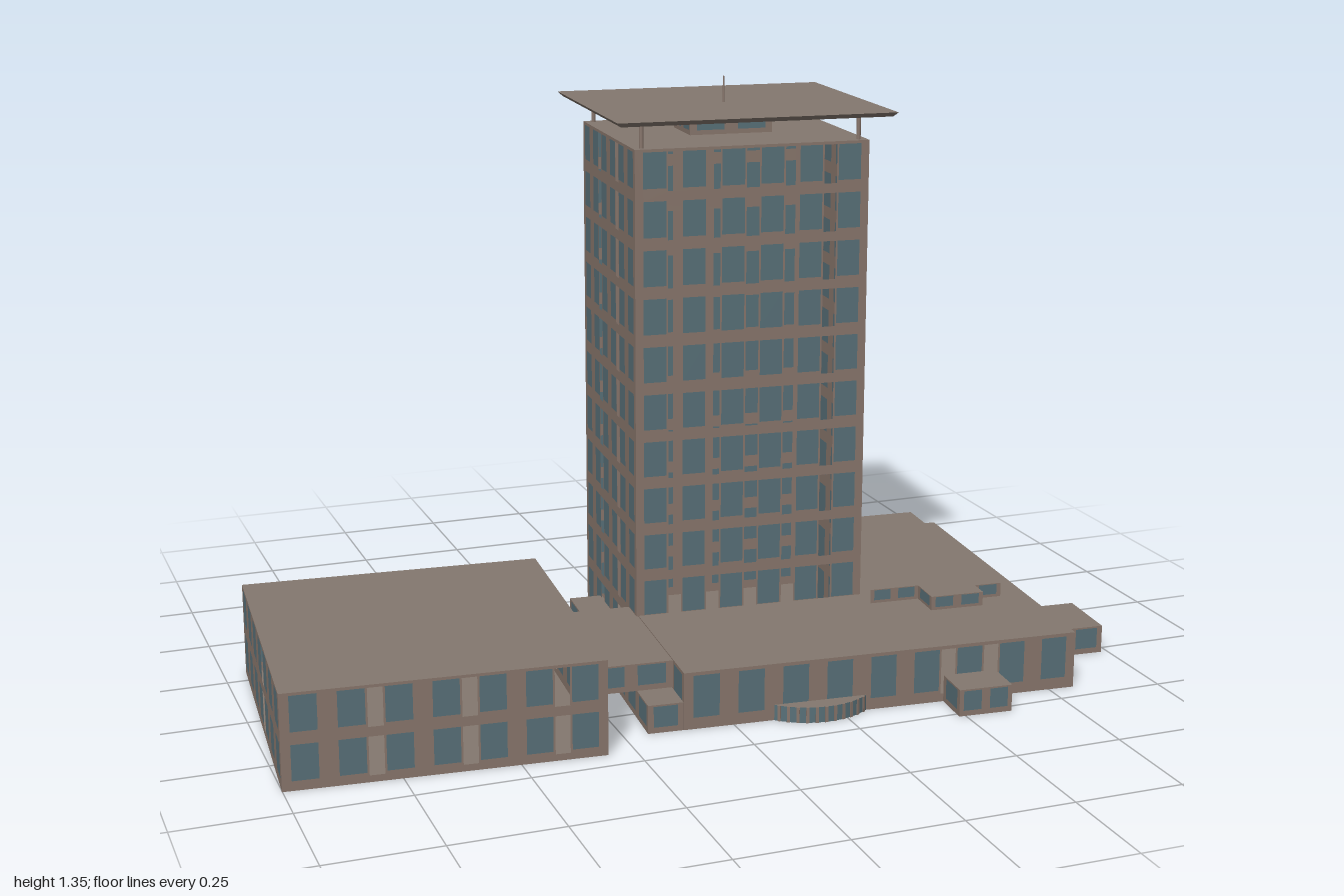
import * as THREE from 'three';
import { mergeGeometries } from 'three/addons/utils/BufferGeometryUtils.js';

function mat(name, color) {
  const m = new THREE.MeshStandardMaterial({ color, side: THREE.DoubleSide });
  m.name = name;
  return m;
}

export function createModel() {
  const wall = mat('wall', 0x88766c);
  const roof = mat('roof', 0x84786f);
  const glass = mat('glass', 0x587078);
  const model = new THREE.Group();
  model.name = 'officeComplex';

  const add = (parent, name, geometry, material) => {
    const mesh = new THREE.Mesh(geometry, material);
    mesh.name = name;
    parent.add(mesh);
    return mesh;
  };

  const rect = (Type, x0, y0, x1, y1) => {
    const p = new Type();
    p.moveTo(x0, y0);
    p.lineTo(x1, y0);
    p.lineTo(x1, y1);
    p.lineTo(x0, y1);
    p.closePath();
    return p;
  };

  // One flat wall with a grid of windows and narrow open slots in chosen piers
  function facade(parent, a, b, y0, y1, { cols, rows = 1, slots = [] }) {
    const dx = b[0] - a[0], dz = b[1] - a[1];
    const length = Math.hypot(dx, dz), height = y1 - y0;
    const pitch = length / cols, floor = height / rows;
    const half = pitch * (slots.length ? 0.29 : 0.34);
    const shape = rect(THREE.Shape, 0, 0, length, height);
    const panes = [];
    for (let r = 0; r < rows; r++) {
      const low = (r + 0.2) * floor, high = (r + 0.94) * floor;
      for (let c = 0; c < cols; c++) {
        const x = (c + 0.5) * pitch;
        shape.holes.push(rect(THREE.Path, x - half, low, x + half, high));
        panes.push(new THREE.PlaneGeometry(half * 2, high - low).translate(x, (low + high) / 2, 0));
      }
      for (const s of slots) {
        const x = s * pitch, w = pitch * 0.165;
        shape.holes.push(rect(THREE.Path, x - w, low - floor * 0.06, x + w, high));
      }
    }
    const side = new THREE.Group();
    side.name = 'facade';
    side.position.set(a[0], y0, a[1]);
    side.rotation.y = -Math.atan2(dz, dx);
    add(side, 'wallPanel', new THREE.ShapeGeometry(shape), wall);
    add(side, 'windows', mergeGeometries(panes), glass);
    parent.add(side);
  }

  // Hollow building on a ground plan; a null side is left open against its neighbour
  function building(name, plan, y0, y1, sides) {
    const group = new THREE.Group();
    group.name = name;
    plan.forEach((p, i) => {
      if (sides[i]) facade(group, p, plan[(i + 1) % plan.length], y0, y1, sides[i]);
    });
    const shape = new THREE.Shape(plan.map(([x, z]) => new THREE.Vector2(x, -z)));
    const slab = new THREE.ShapeGeometry(shape).rotateX(-Math.PI / 2);
    add(group, 'roofSlab', slab, roof).position.y = y1;
    add(group, 'floorSlab', slab, roof).position.y = y0 + 0.001;
    model.add(group);
  }

  // Plan corners in the order front, right, back, left
  const box = (x0, x1, z0, z1) => [[x0, z1], [x1, z1], [x1, z0], [x0, z0]];
  const one = { cols: 1 }, two = { cols: 2 }, three = { cols: 3 };

  building('tower', box(-0.09, 0.461, -0.467, 0.005), 0, 1.22, [
    { cols: 6, rows: 11, slots: [1, 2, 3, 4, 5] },
    { cols: 6, rows: 11, slots: [1, 2, 4, 5] },
    { cols: 7, rows: 11 },
    { cols: 6, rows: 11, slots: [2, 4] },
  ]);

  building('sideBlock', box(-0.968, -0.277, -0.227, 0.467), 0, 0.215, [
    { cols: 7, rows: 2, slots: [2, 4, 6] },
    { cols: 7, rows: 2, slots: [1, 2, 3, 5] },
    { cols: 7, rows: 2, slots: [3, 6] },
    { cols: 7, rows: 2, slots: [4] },
  ]);

  building('podium', [
    [-0.085, 0.382], [0.842, 0.382], [0.842, -0.467],
    [0.461, -0.467], [0.461, 0.005], [-0.085, 0.005],
  ], 0, 0.132, [
    { cols: 9, slots: [6, 7] }, { cols: 8, slots: [1, 2, 4] },
    { cols: 4 }, null, null, { cols: 4 },
  ]);

  building('terraceLevel', [
    [0.461, 0.075], [0.581, 0.075], [0.581, 0.159], [0.71, 0.159],
    [0.71, 0.111], [0.776, 0.111], [0.776, -0.466], [0.461, -0.466],
  ], 0.133, 0.166, [two, one, two, one, one, { cols: 8 }, { cols: 4 }, null]);

  building('lowStrip', box(-0.166, -0.086, -0.339, 0.381), 0, 0.065, [one, null, one, { cols: 8 }]);
  building('linkBridge', box(-0.277, -0.086, -0.064, 0.297), 0.068, 0.131, [two, null, two, null]);
  building('frontPorch', box(0.523, 0.648, 0.382, 0.476), 0, 0.062, [two, one, null, one]);
  building('rightPorch', box(0.842, 1.002, 0.033, 0.198), 0, 0.066, [two, three, two, null]);
  building('rightAnnex', box(0.842, 0.878, -0.37, -0.271), 0, 0.085, [null, two, one, null]);
  building('rightAnnexEntrance', box(0.842, 0.897, -0.27, -0.21), 0, 0.085, [one, one, one, null]);
  building('rearAnnex', box(0.225, 0.46, -0.508, -0.468), 0, 0.148, [null, one, three, one]);
  building('rearEntrance', box(0.125, 0.19, -0.515, -0.468), 0, 0.15, [null, one, one, one]);
  building('penthouse', box(0.088, 0.285, -0.3, -0.167), 1.221, 1.274, [two, two, two, two]);

  // Curved bay on the podium front
  const bay = new THREE.Group();
  bay.name = 'curvedBay';
  bay.position.set(0.23, 0, 0.26);
  add(bay, 'bayDrum', new THREE.CylinderGeometry(0.163, 0.163, 0.036, 48).translate(0, 0.018, 0), [glass, roof, roof]);
  for (let i = -5; i <= 5; i++) {
    const a = i * 0.13;
    const bar = add(bay, 'bayMullion', new THREE.BoxGeometry(0.007, 0.036, 0.004), wall);
    bar.position.set(Math.sin(a) * 0.163, 0.018, Math.cos(a) * 0.163);
    bar.rotation.y = a;
  }
  model.add(bay);

  // Floating canopy, tapering downward, on four columns
  const canopy = new THREE.BoxGeometry(0.653, 0.01, 0.569);
  const pos = canopy.attributes.position;
  for (let i = 0; i < pos.count; i++) {
    if (pos.getY(i) < 0) pos.setXYZ(i, pos.getX(i) * 0.97, pos.getY(i), pos.getZ(i) * 0.97);
  }
  canopy.computeVertexNormals();
  add(model, 'canopy', canopy, roof).position.set(0.187, 1.281, -0.2365);
  for (const x of [-0.07, 0.441]) {
    for (const z of [-0.447, -0.013]) {
      add(model, 'canopyColumn', new THREE.CylinderGeometry(0.005, 0.005, 0.058, 10), wall).position.set(x, 1.249, z);
    }
  }
  add(model, 'mast', new THREE.CylinderGeometry(0.0018, 0.0025, 0.062, 8), wall).position.set(0.188, 1.315, -0.233);

  // The complex stands slightly turned on its plot
  model.rotation.y = -0.077;
  const root = new THREE.Group();
  root.name = 'model';
  root.add(model);
  return root;
}
